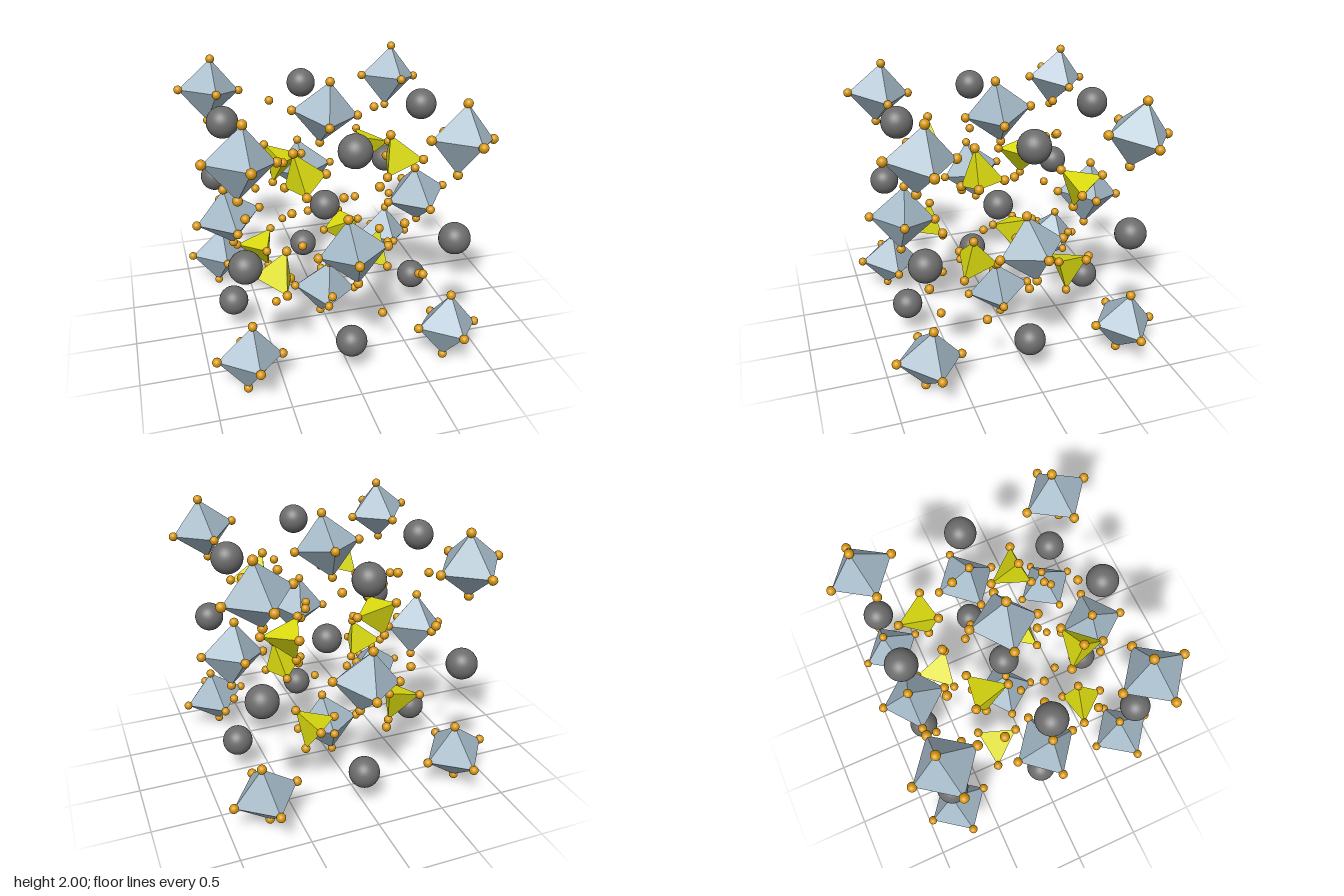
import * as THREE from 'three';
import { ConvexGeometry } from 'three/addons/geometries/ConvexGeometry.js';

const H = 0.733; // half of the cubic cell edge
const V = (x, y, z) => new THREE.Vector3(x, y, z);
const AXIS = V(1, -1, 1); // threefold axis of the cell

// Cubic symmetry: sign flips, each with a half-cell shift
const OPS = [
  { sign: V(1, 1, 1), shift: V(0, 0, 0) },
  { sign: V(-1, -1, 1), shift: V(H, 0, H) },
  { sign: V(-1, 1, -1), shift: V(0, H, H) },
  { sign: V(1, -1, -1), shift: V(H, H, 0) },
];

// Three copies of a vector turned about the threefold axis
const turns = (a, b, c) => [V(a, b, c), V(c, a, b), V(b, c, a)].map((v) => v.multiply(AXIS));

// Whole-cell shift that brings a point back inside the cell
const wrapShift = (p) => V(...p.toArray().map((c) => -2 * H * Math.round(c / (2 * H))));

export function createModel() {
  const model = new THREE.Group();
  const cell = new THREE.Group();
  cell.name = 'crystalCell';
  cell.position.y = 1;
  model.add(cell);

  const paint = (color) => new THREE.MeshStandardMaterial({ color });
  const blue = paint(0xa3b8c6), yellow = paint(0xdcdc10), orange = paint(0xd6960a), grey = paint(0x6c6c6c);
  blue.flatShading = yellow.flatShading = true;
  const smallBall = new THREE.SphereGeometry(0.033, 18, 12);
  const largeBall = new THREE.SphereGeometry(0.112, 32, 20);

  function ball(parent, name, geometry, material, position) {
    const mesh = new THREE.Mesh(geometry, material);
    mesh.name = name;
    mesh.position.copy(position);
    parent.add(mesh);
  }

  // Faceted solid with a small ball on every corner
  function polyhedron(name, corners, center, material) {
    const group = new THREE.Group();
    group.name = name;
    group.position.copy(center);
    const solid = new THREE.Mesh(new ConvexGeometry(corners), material);
    solid.name = name + 'Body';
    group.add(solid);
    corners.forEach((c) => ball(group, 'cornerAtom', smallBall, orange, c));
    cell.add(group);
  }

  // Octahedra on the cell corners and face centres
  const arms = turns(0.235, 0.03, -0.03);
  const octahedron = (op, center) => {
    const half = arms.map((v) => v.clone().multiply(op.sign));
    polyhedron('octahedron', [...half, ...half.map((v) => v.clone().negate())], center, blue);
  };
  for (const x of [-H, H]) for (const y of [-H, H]) for (const z of [-H, H]) octahedron(OPS[0], V(x, y, z));
  for (const op of OPS.slice(1)) {
    const face = V(H, H, H).sub(op.shift);
    octahedron(op, face);
    octahedron(op, face.clone().negate());
  }

  // Large spheres at the cell centre and the middle of every edge
  ball(cell, 'largeAtom', largeBall, grey, V(0, 0, 0));
  for (const a of [-H, H]) for (const b of [-H, H])
    for (const p of [V(0, a, b), V(a, 0, b), V(a, b, 0)]) ball(cell, 'largeAtom', largeBall, grey, p);

  // Tetrahedra and loose small atoms, repeated by symmetry and inversion
  const tetraCenter = AXIS.clone().multiplyScalar(0.278);
  const tetraCorners = [AXIS.clone().multiplyScalar(0.38), ...turns(0.098, 0.293, 0.337)];
  const loose = turns(0.06, -0.192, 0.298);
  for (const op of OPS) for (const flip of [1, -1]) {
    const place = (v) => v.clone().multiplyScalar(flip).multiply(op.sign).add(op.shift);
    const center = place(tetraCenter);
    const corners = tetraCorners.map((v) => place(v).sub(center));
    polyhedron('tetrahedron', corners, center.clone().add(wrapShift(center)), yellow);
    for (const v of loose) {
      const p = place(v);
      ball(cell, 'looseAtom', smallBall, orange, p.add(wrapShift(p)));
    }
  }
  return model;
}
